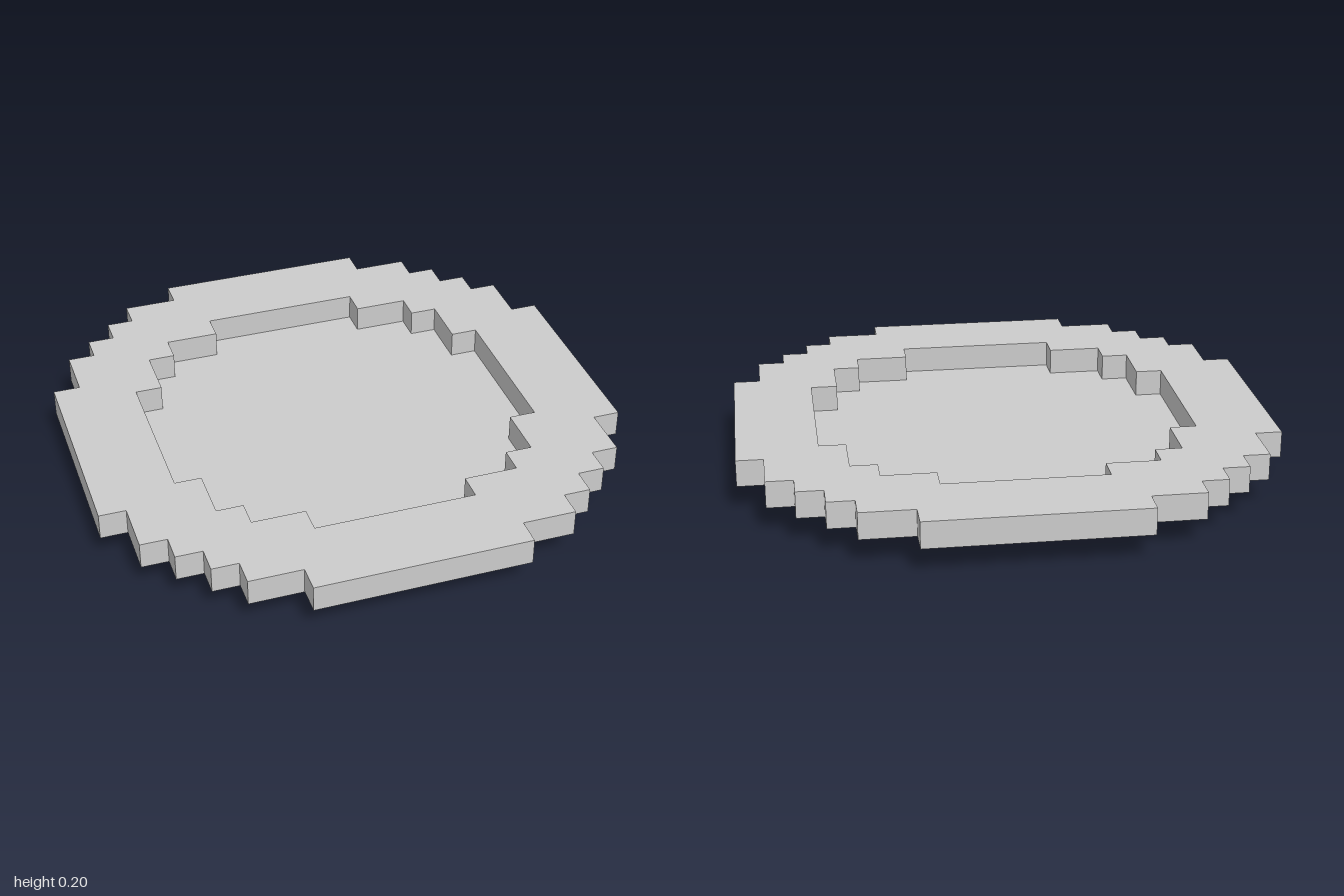
import * as THREE from 'three';

// Quarter outlines of the stepped circles, from the +x side round to the +y side
const OUTER = [[1, 0.4], [0.9, 0.4], [0.9, 0.6], [0.8, 0.6], [0.8, 0.7], [0.7, 0.7],
  [0.7, 0.8], [0.6, 0.8], [0.6, 0.9], [0.4, 0.9], [0.4, 1]];
const INNER = [[0.7, 0.3], [0.6, 0.3], [0.6, 0.5], [0.5, 0.5], [0.5, 0.6], [0.3, 0.6], [0.3, 0.7]];
const LAYER = 0.1;

// Repeat a quarter outline four times, a right angle apart
function steppedOutline(quarter) {
  const points = [];
  for (let turn = 0; turn < 4; turn++) {
    for (const [x, y] of quarter) {
      const p = new THREE.Vector2(x, y);
      for (let i = 0; i < turn; i++) p.set(-p.y, p.x);
      points.push(p);
    }
  }
  return points;
}

// Flat slab one layer thick, with its underside at the given height
function slab(name, shape, bottom, material) {
  const geometry = new THREE.ExtrudeGeometry(shape, { depth: LAYER, bevelEnabled: false });
  geometry.rotateX(-Math.PI / 2);
  const mesh = new THREE.Mesh(geometry, material);
  mesh.name = name;
  mesh.position.y = bottom;
  return mesh;
}

export function createModel() {
  const group = new THREE.Group();
  group.name = 'steppedPlate';
  const material = new THREE.MeshStandardMaterial({ color: 0xcccccc, flatShading: true });

  // Sunken floor of the plate
  group.add(slab('base', new THREE.Shape(steppedOutline(INNER)), 0, material));

  // Wide rim, open over the base
  const rim = new THREE.Shape(steppedOutline(OUTER));
  rim.holes.push(new THREE.Path(steppedOutline(INNER)));
  group.add(slab('rim', rim, LAYER, material));

  return group;
}
